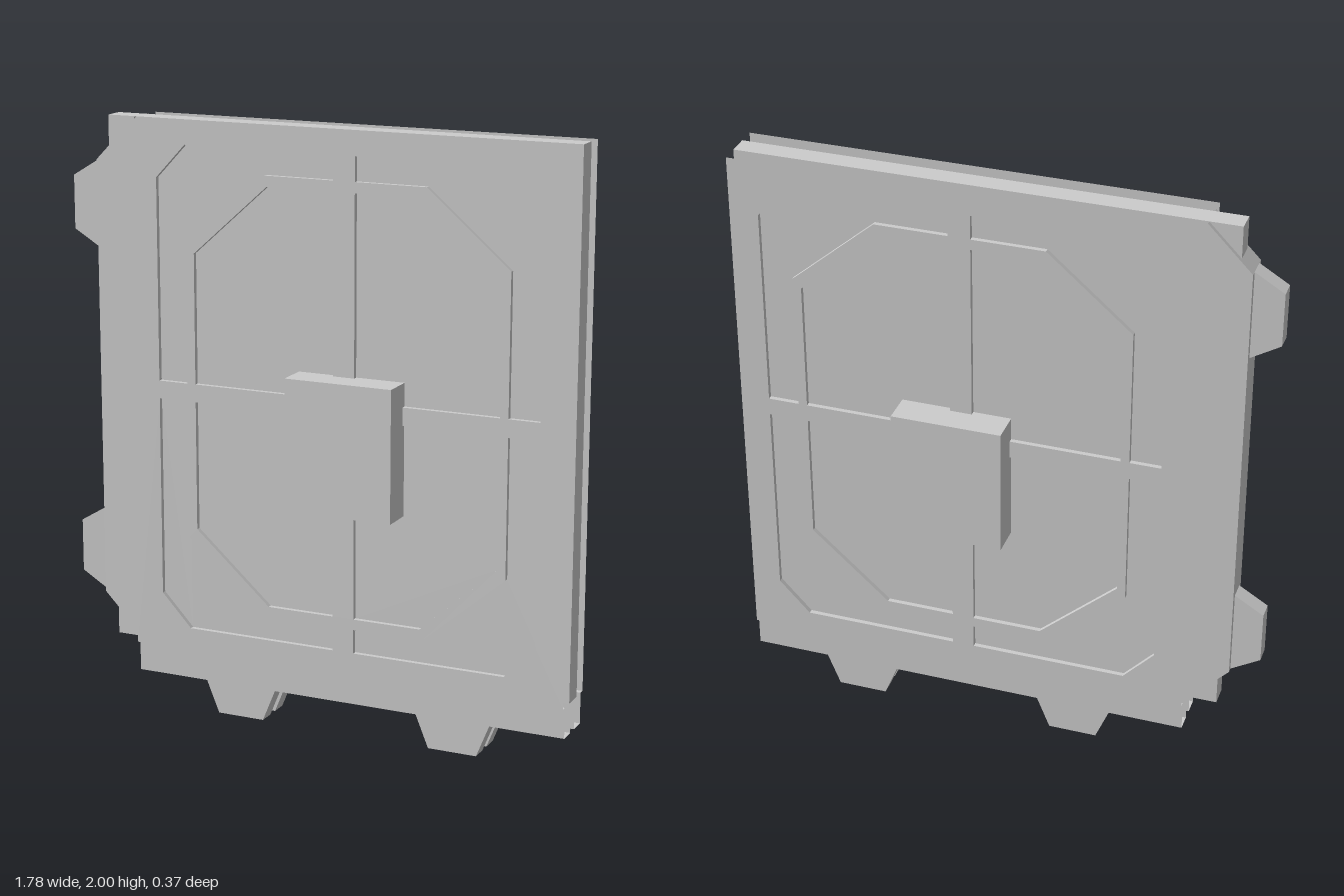
import * as THREE from 'three';

const material = new THREE.MeshStandardMaterial({ color: 0xcccccc, side: THREE.DoubleSide, flatShading: true });
const CX = 0.1225, CY = 1.11; // centre of the panel pattern
const LEFT = -0.645, RIGHT = 0.887, BASE = 0.215, TOP = 2;
const FACE_Z = 0.093, FLOOR_Z = 0.077;

const vectors = (points) => points.map(([x, y]) => new THREE.Vector2(x, y));

function add(parent, name, geometry) {
  const mesh = new THREE.Mesh(geometry, material);
  mesh.name = name;
  parent.add(mesh);
  return mesh;
}

function addBox(parent, name, x0, x1, y0, y1, halfDepth) {
  const mesh = add(parent, name, new THREE.BoxGeometry(x1 - x0, y1 - y0, halfDepth * 2));
  mesh.position.set((x0 + x1) / 2, (y0 + y1) / 2, 0);
}

// Flat sheet with optional holes, parallel to the front
function sheet(points, z, holes = []) {
  const shape = new THREE.Shape(vectors(points));
  for (const hole of holes) shape.holes.push(new THREE.Path(vectors(hole)));
  return new THREE.ShapeGeometry(shape).translate(0, 0, z);
}

// Wall that follows a path between two depths
function ribbon(points, z0, z1, closed = false) {
  const position = [];
  const path = closed ? [...points, points[0]] : points;
  for (let i = 0; i < path.length - 1; i++) {
    const [ax, ay] = path[i], [bx, by] = path[i + 1];
    position.push(ax, ay, z0, bx, by, z0, bx, by, z1, ax, ay, z0, bx, by, z1, ax, ay, z1);
  }
  const geometry = new THREE.BufferGeometry();
  geometry.setAttribute('position', new THREE.Float32BufferAttribute(position, 3));
  geometry.computeVertexNormals();
  return geometry;
}

// One quarter of the recessed pattern, measured from its centre
const outerPocket = [[0.037, 0.817], [0.562, 0.817], [0.667, 0.705], [0.667, 0.03],
  [0.562, 0.03], [0.562, 0.495], [0.28, 0.736], [0.037, 0.736]];
const innerPocket = [[0.037, 0.03], [0.533, 0.03], [0.533, 0.465], [0.27, 0.7], [0.037, 0.7]];

function makePockets() {
  const pockets = [];
  for (const sx of [-1, 1]) for (const sy of [-1, 1])
    for (const outline of [outerPocket, innerPocket])
      pockets.push(outline.map(([x, y]) => [CX + sx * x, CY + sy * y]));
  return pockets;
}

// Bottom edge of the rails, stepping down around two tabs
const railEdge = [[LEFT, 0.11], [-0.39, 0.11], [-0.345, 0], [-0.18, 0], [-0.135, 0.11],
  [0.375, 0.11], [0.42, 0], [0.588, 0], [0.632, 0.11], [RIGHT, 0.11]];

function makeFacePanel(side) {
  const group = new THREE.Group();
  group.name = side > 0 ? 'frontPanel' : 'backPanel';
  const pockets = makePockets();
  const border = [[LEFT, BASE], [RIGHT, BASE], [RIGHT, TOP], [LEFT, TOP]];
  add(group, 'panelFace', sheet(border, side * FACE_Z, pockets));
  for (const pocket of pockets) {
    add(group, 'pocketWall', ribbon(pocket, side * FACE_Z, side * FLOOR_Z, true));
    add(group, 'pocketFloor', sheet(pocket, side * FLOOR_Z));
  }

  // Hollow bottom rail with its tabs
  const railOutline = [...railEdge, [RIGHT, BASE], [LEFT, BASE]];
  add(group, 'railStep', ribbon([[LEFT, BASE], [RIGHT, BASE]], side * FACE_Z, side * 0.075));
  add(group, 'railOuterWall', sheet(railOutline, side * 0.075));
  add(group, 'railInnerWall', sheet(railOutline, side * 0.018));
  add(group, 'railBottom', ribbon(railEdge, side * 0.075, side * 0.018));
  return group;
}

// Side tongue: a chamfered hollow rail with two thinner tabs
function makeSideTongue() {
  const group = new THREE.Group();
  group.name = 'sideTongue';
  const edge = [[LEFT, TOP], [-0.79, 1.852], [-0.79, 0.363], [LEFT, BASE]];
  add(group, 'tongueEdge', ribbon(edge, -0.05, 0.05));
  for (const side of [-1, 1]) add(group, 'tongueFace', sheet(edge, side * 0.05));
  for (const y of [0.512, 1.703]) {
    const tab = [[-0.79, y + 0.149], [-0.888, y + 0.09], [-0.888, y - 0.09], [-0.79, y - 0.149]];
    add(group, 'sideTabEdge', ribbon(tab, -0.03, 0.03));
    for (const side of [-1, 1]) add(group, 'sideTabFace', sheet(tab, side * 0.03));
  }
  return group;
}

export function createModel() {
  const model = new THREE.Group();
  model.name = 'panel';
  addBox(model, 'core', -0.75, RIGHT, BASE, TOP, 0.035);
  addBox(model, 'centreBlock', -0.042, 0.327, 0.778, 1.217, 0.185);
  model.add(makeFacePanel(1), makeFacePanel(-1), makeSideTongue());
  return model;
}
